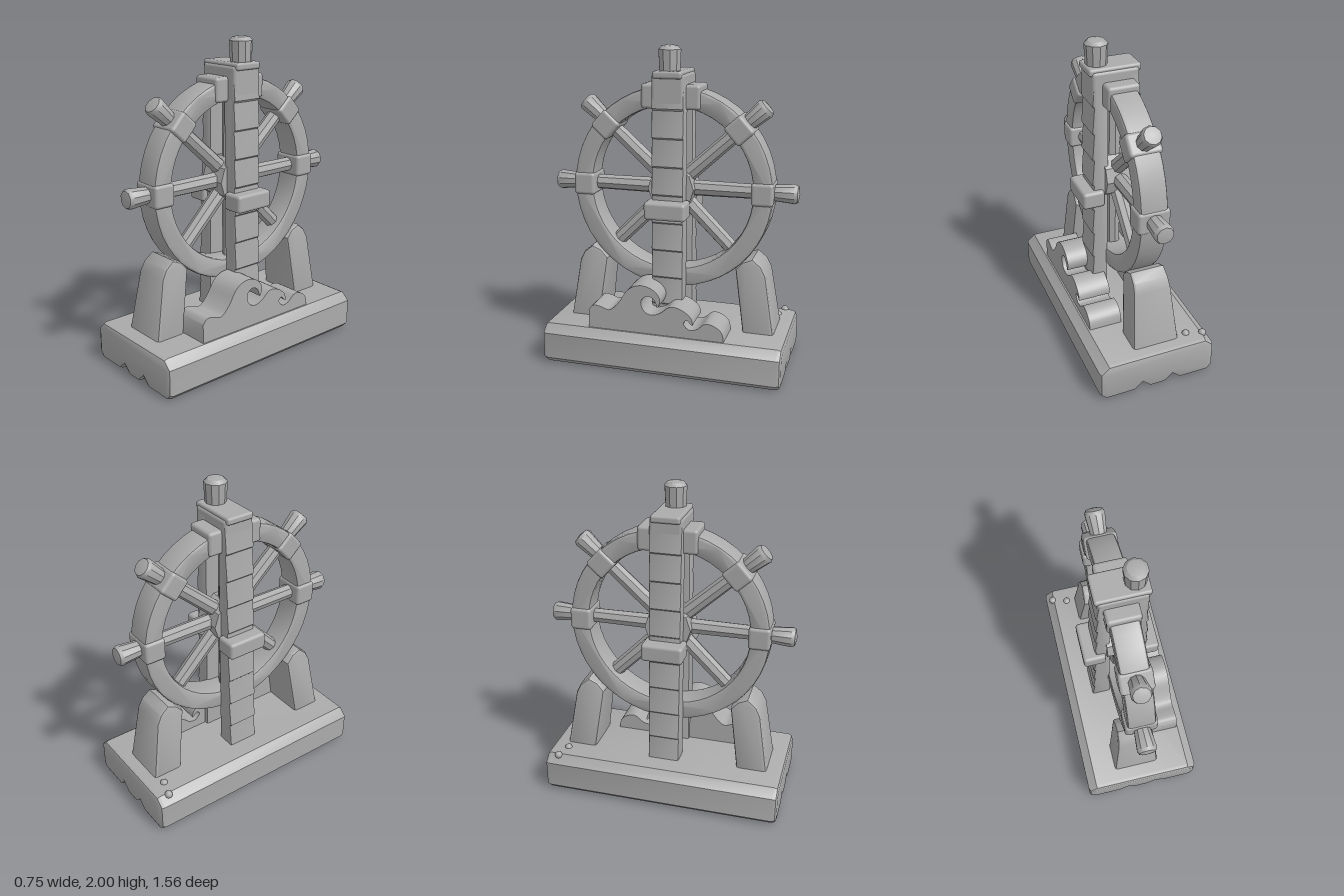
import * as THREE from 'three';
import { toCreasedNormals } from 'three/addons/utils/BufferGeometryUtils.js';
import { RoundedBoxGeometry } from 'three/addons/geometries/RoundedBoxGeometry.js';

const stone = new THREE.MeshStandardMaterial({ color: 0xababab });
stone.name = 'grey stone';
const HUB_Y = 1.125;

function add(parent, name, geometry, x = 0, y = 0, z = 0) {
  const mesh = new THREE.Mesh(geometry, stone);
  mesh.name = name;
  mesh.position.set(x, y, z);
  parent.add(mesh);
  return mesh;
}

const block = (w, h, d, r = 0.02) => new RoundedBoxGeometry(w, h, d, 2, r);
const shapeOf = (points) => new THREE.Shape(points.map(([x, y]) => new THREE.Vector2(x, y)));

// Extrudes a shape to a total depth, its bevel kept inside the outline
function extrude(shape, depth, bevel, curveSegments = 16) {
  const g = new THREE.ExtrudeGeometry(shape, {
    depth: depth - 2 * bevel, bevelEnabled: bevel > 0, bevelSize: bevel,
    bevelThickness: bevel, bevelOffset: -bevel, bevelSegments: 2, curveSegments,
  });
  return g.translate(0, 0, bevel - depth / 2);
}

// Turns a (z, y) profile so that its depth runs along x
const sideways = (g) => g.rotateY(-Math.PI / 2);
const creased = (g, angle = 0.6) => toCreasedNormals(g, angle);

function makeBase(group) {
  // Slab with two grooves along its underside
  const slab = shapeOf([
    [-0.34, 0.01], [-0.15, 0.01], [-0.1, 0.055], [-0.05, 0.01], [0.05, 0.01], [0.1, 0.055],
    [0.15, 0.01], [0.34, 0.01], [0.375, 0.045], [0.375, 0.21], [0.32, 0.26],
    [-0.32, 0.26], [-0.375, 0.21], [-0.375, 0.045],
  ]);
  add(group, 'base', creased(extrude(slab, 1.52, 0.03)), 0, -0.006, 0.008);
  for (const [x, z] of [[-0.23, -0.64], [-0.33, -0.67]]) {
    add(group, 'baseStud', new THREE.SphereGeometry(0.025, 10, 6), x, 0.25, z);
  }
}

function makeStand(group, side) {
  const profile = shapeOf([
    [0.67, 0.22], [0.605, 0.62], [0.575, 0.68], [0.52, 0.725], [0.46, 0.7], [0.415, 0.65], [0.475, 0.22],
  ].map(([z, y]) => [z * side, y]));
  const g = sideways(extrude(profile, 0.29, 0.02));
  // Narrow the stand towards its top
  const p = g.attributes.position;
  for (let i = 0; i < p.count; i++) {
    const t = (p.getY(i) - 0.22) / 0.5;
    p.setX(i, p.getX(i) * (1.04 - 0.27 * t) - 0.022 + 0.01 * t);
  }
  add(group, side > 0 ? 'frontStand' : 'backStand', creased(g));
}

function makePost(group, side) {
  // Outer face is carved into shallow overlapping notches
  const bottom = side > 0 ? 0.182 : 0.2;
  const top = side > 0 ? 0.16 : 0.135;
  const points = [[side * 0.075, 0.24]];
  const steps = 9;
  for (let i = 0; i < steps; i++) {
    const y0 = 0.24 + (1.56 * i) / steps;
    const y1 = 0.24 + (1.56 * (i + 1)) / steps;
    const edge = (y) => bottom + ((top - bottom) * (y - 0.24)) / 1.56;
    points.push([side * edge(y0), y0], [side * (edge(y1) - 0.01), y1 - 0.01]);
  }
  points.push([side * (top - 0.01), 1.8], [side * 0.06, 1.8]);
  add(group, side > 0 ? 'leftPost' : 'rightPost', creased(extrude(shapeOf(points), 0.2, 0.012)));
  add(group, 'axleBracket', block(0.14, 0.11, 0.26), side * 0.168, 1.015, 0);
}

function makeWheel(group) {
  const wheel = new THREE.Group();
  wheel.name = 'wheel';
  wheel.position.y = HUB_Y;
  group.add(wheel);

  // Rim
  const ring = new THREE.Shape().absarc(0, 0, 0.625, 0, Math.PI * 2, false);
  ring.holes.push(new THREE.Path().absarc(0, 0, 0.515, 0, Math.PI * 2, true));
  const rim = new THREE.ExtrudeGeometry(ring, {
    depth: 0.13, bevelSize: 0.015, bevelThickness: 0.02, bevelOffset: -0.01, bevelSegments: 2, curveSegments: 24,
  });
  add(wheel, 'rim', creased(sideways(rim.translate(0, 0, -0.065))));

  // Hub and axle
  const hub = new THREE.CylinderGeometry(0.145, 0.145, 0.18, 10).rotateZ(Math.PI / 2);
  add(wheel, 'hub', creased(hub));
  add(wheel, 'axle', creased(new THREE.CylinderGeometry(0.06, 0.06, 0.3, 12).rotateZ(Math.PI / 2)));

  // Spokes, with a clamp and a handle on those clear of the stands
  const handleProfile = [[0, 0], [0.05, 0], [0.062, 0.13], [0.052, 0.15], [0, 0.16]];
  const handle = creased(new THREE.LatheGeometry(handleProfile.map(([r, y]) => new THREE.Vector2(r, y)), 10));
  for (let i = 0; i < 8; i++) {
    const spoke = new THREE.Group();
    spoke.name = 'spoke';
    const upper = i === 1 || i === 7;
    spoke.rotation.x = (i * Math.PI) / 4 + (upper ? (i === 1 ? 0.05 : -0.05) : 0);
    wheel.add(spoke);
    add(spoke, 'spokeRod', creased(new THREE.CylinderGeometry(0.046, 0.05, 0.5, 8)), 0, 0.3, 0);
    if (upper || i === 2 || i === 6) {
      add(spoke, 'rimClamp', block(0.2, 0.135, 0.14), 0, 0.565, 0);
      add(spoke, 'handle', handle, 0, 0.62, 0);
    }
  }
}

function makeCrown(group) {
  // Cap, saddle over the rim and upright handle at the top
  add(group, 'rimSaddle', block(0.2, 0.15, 0.37), 0, 1.69, 0);
  add(group, 'crownBlock', block(0.29, 0.22, 0.2), 0.015, 1.72, 0);
  add(group, 'crownCap', block(0.32, 0.045, 0.18, 0.015), 0.015, 1.825, 0);
  const peg = [[0, 0], [0.062, 0], [0.07, 0.17], [0.05, 0.19], [0, 0.2]];
  const g = new THREE.LatheGeometry(peg.map(([r, y]) => new THREE.Vector2(r, y)), 10);
  add(group, 'topHandle', creased(g), 0.1, 1.8, 0);
}

function makeWaves(group) {
  // Three curling crests, each smaller than the last
  const crests = [
    [0.47, 0.37], [0.44, 0.405], [0.39, 0.4], [0.33, 0.385], [0.27, 0.44], [0.21, 0.53], [0.13, 0.565],
    [0.05, 0.545], [0.005, 0.49], [0.02, 0.43], [0.04, 0.48], [0.085, 0.5], [0.125, 0.465],
    [0.11, 0.405], [0.06, 0.38], [0.0, 0.4], [-0.06, 0.445], [-0.13, 0.435], [-0.19, 0.39],
    [-0.2, 0.34], [-0.165, 0.37], [-0.145, 0.345], [-0.18, 0.31], [-0.23, 0.32], [-0.28, 0.36],
    [-0.34, 0.35], [-0.385, 0.31], [-0.395, 0.24],
  ];
  const shape = new THREE.Shape();
  shape.moveTo(0.47, 0.23);
  shape.lineTo(0.47, 0.37);
  shape.splineThru(crests.slice(1).map(([z, y]) => new THREE.Vector2(z, y)));
  shape.lineTo(0.47, 0.23);
  add(group, 'waves', creased(sideways(extrude(shape, 0.21, 0, 3))), 0.205, 0, 0);
}

export function createModel() {
  const group = new THREE.Group();
  group.name = 'shipWheelStatue';
  makeBase(group);
  for (const side of [1, -1]) {
    makeStand(group, side);
    makePost(group, side);
  }
  makeWheel(group);
  makeCrown(group);
  makeWaves(group);
  return group;
}
